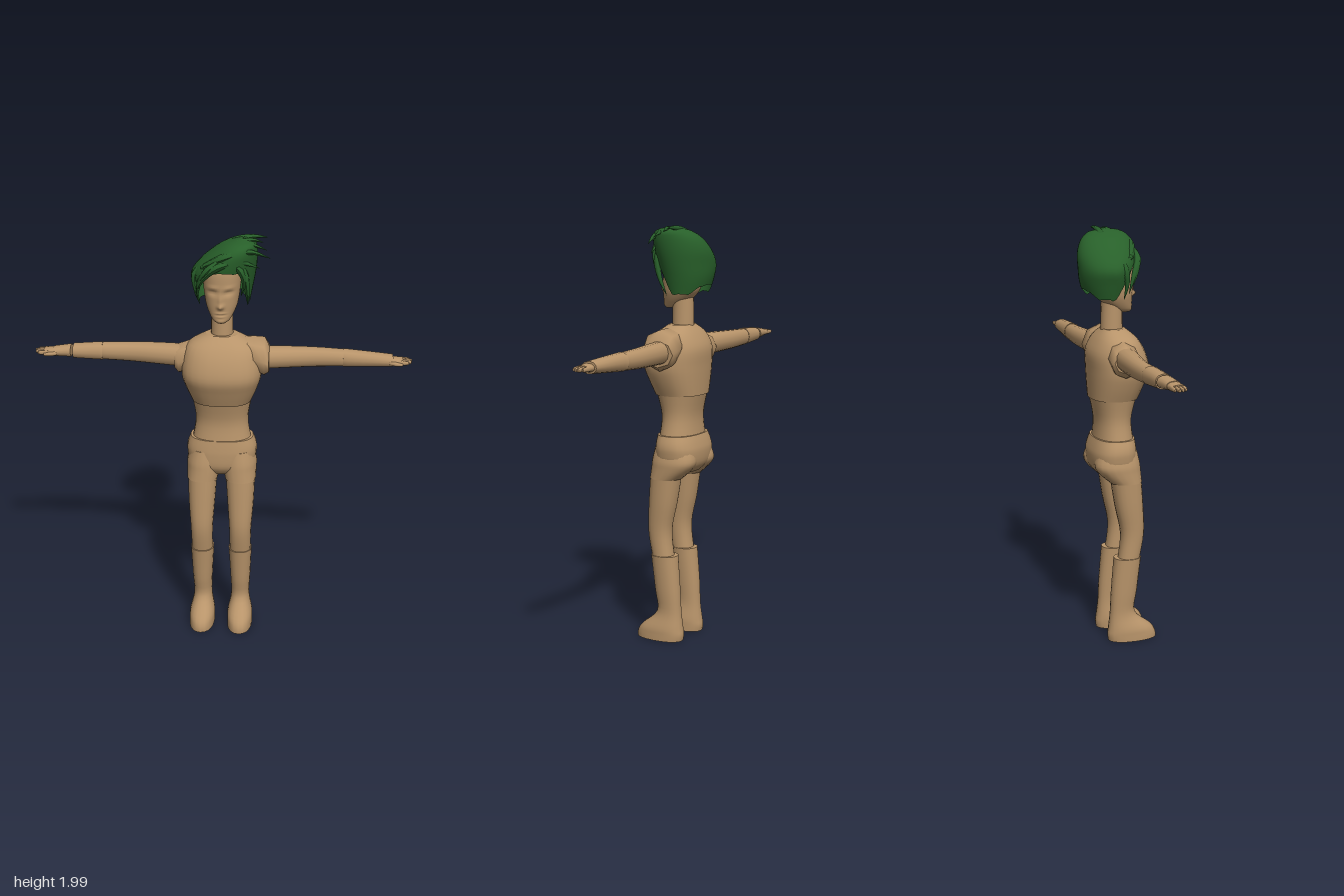
import * as THREE from 'three';

const skin = new THREE.MeshStandardMaterial({ color: 0xb8946a });
skin.name = 'tan skin';
const green = new THREE.MeshStandardMaterial({ color: 0x28602a, side: THREE.DoubleSide });
green.name = 'green hair';

// Surface through rings of points, with optional crisp end caps
function skinRings(rings, caps = true) {
  const n = rings[0].length, pos = [], idx = [];
  rings.forEach(r => r.forEach(p => pos.push(...p)));
  for (let i = 0; i < rings.length - 1; i++) for (let j = 0; j < n; j++) {
    const a = i * n + j, b = i * n + (j + 1) % n;
    idx.push(a, a + n, b, b, a + n, b + n);
  }
  if (caps) [rings[0], rings[rings.length - 1]].forEach((r, end) => {
    const base = pos.length / 3;
    r.forEach(p => pos.push(...p));
    pos.push(...[0, 1, 2].map(k => r.reduce((s, p) => s + p[k], 0) / n));
    for (let j = 0; j < n; j++) {
      const a = base + j, b = base + (j + 1) % n;
      idx.push(base + n, end ? b : a, end ? a : b);
    }
  });
  const g = new THREE.BufferGeometry();
  g.setAttribute('position', new THREE.Float32BufferAttribute(pos, 3));
  g.setIndex(idx);
  g.computeVertexNormals();
  return g;
}

// Catmull-Rom through the section numbers
function refine(sections, steps) {
  const out = [], at = i => sections[Math.min(Math.max(i, 0), sections.length - 1)];
  for (let i = 0; i < sections.length - 1; i++) for (let s = 0; s < steps; s++) {
    const t = s / steps;
    out.push(at(i).map((b, k) => {
      const a = at(i - 1)[k], c = at(i + 1)[k], d = at(i + 2)[k];
      return 0.5 * (2 * b + (c - a) * t + (2 * a - 5 * b + 4 * c - d) * t * t + (3 * b - a - 3 * c + d) * t ** 3);
    }));
  }
  out.push(at(sections.length - 1));
  return out;
}

// Section: [position on axis, u min, u max, v min, v max]; (u, v) is (x, z) on y and (z, y) on x
function sectionPoint([t, u0, u1, v0, v1], angle, axis = 'y', power = 2) {
  const c = Math.cos(angle), s = Math.sin(angle), e = 2 / power;
  const u = (u0 + u1) / 2 + (u1 - u0) / 2 * Math.sign(c) * Math.abs(c) ** e;
  const v = (v0 + v1) / 2 + (v1 - v0) / 2 * Math.sign(s) * Math.abs(s) ** e;
  return axis === 'y' ? [u, t, v] : [t, v, u];
}

function loft(sections, { axis = 'y', n = 20, steps = 4, power = 2.2 } = {}) {
  return skinRings(refine(sections, steps).map(s =>
    Array.from({ length: n }, (_, j) => sectionPoint(s, j / n * Math.PI * 2, axis, power))));
}

const mirrorX = s => s.map(([x, ...r]) => [-x, ...r]).reverse();
const mirrorY = s => s.map(([y, a, b, ...r]) => [y, -b, -a, ...r]);
const smooth = THREE.MathUtils.smoothstep;

// Head with face features pushed out of the skull
function headGeometry() {
  const g = loft([
    [1.605, -0.022, 0.022, 0.02, 0.072], [1.62, -0.043, 0.043, -0.02, 0.08], [1.66, -0.065, 0.065, -0.07, 0.08],
    [1.70, -0.077, 0.077, -0.1, 0.082], [1.78, -0.087, 0.087, -0.12, 0.084], [1.85, -0.086, 0.086, -0.13, 0.083],
    [1.90, -0.06, 0.07, -0.11, 0.06], [1.935, -0.01, 0.03, -0.06, 0.02],
  ], { n: 56, steps: 9, power: 2.2 });
  const bumps = [ // x, y, width, height, push
    [0, 1.688, 0.012, 0.012, 0.02], [0, 1.715, 0.009, 0.025, 0.01], [0.036, 1.752, 0.02, 0.011, -0.014],
    [0.037, 1.775, 0.024, 0.008, 0.005], [0.036, 1.748, 0.012, 0.005, 0.006], [0, 1.655, 0.02, 0.004, 0.006],
    [0, 1.647, 0.022, 0.003, -0.005], [0, 1.639, 0.018, 0.004, 0.005], [0, 1.615, 0.02, 0.01, 0.004],
  ];
  const p = g.attributes.position;
  for (let i = 0; i < p.count; i++) {
    if (p.getZ(i) < 0.02) continue;
    let z = p.getZ(i);
    for (const [x, y, w, h, d] of bumps)
      z += d * Math.exp(-(((Math.abs(p.getX(i)) - x) / w) ** 2) - ((p.getY(i) - y) / h) ** 2);
    p.setZ(i, z);
  }
  g.computeVertexNormals();
  return g;
}

// Hair cap with a raised fringe and a hem hanging lower at the sides
function hairGeometry() {
  const shape = refine([
    [1.67, -0.105, 0.125, -0.14, 0.05], [1.75, -0.13, 0.14, -0.165, 0.075], [1.815, -0.145, 0.152, -0.172, 0.09],
    [1.88, -0.1, 0.16, -0.168, 0.1], [1.94, -0.03, 0.16, -0.14, 0.095], [1.975, 0.03, 0.15, -0.09, 0.06],
    [1.988, 0.09, 0.1, -0.03, -0.02],
  ], 5);
  const at = y => {
    const i = Math.max(1, shape.findIndex(s => s[0] >= y - 1e-6)), a = shape[i - 1], b = shape[i];
    return a.map((v, k) => THREE.MathUtils.lerp(v, b[k], (y - a[0]) / (b[0] - a[0])));
  };
  const n = 40, rows = 16, rings = [];
  for (let i = 0; i <= rows; i++) rings.push(Array.from({ length: n }, (_, j) => {
    const a = j / n * Math.PI * 2, f = Math.sin(a);
    const hem = f > 0 ? 1.675 + 0.175 * smooth(f, 0.1, 0.9) : 1.68 + 0.04 * smooth(-f, 0.6, 1);
    return sectionPoint(at(THREE.MathUtils.lerp(hem + (j % 4 === 0 ? -0.004 : 0), 1.988, i / rows)), a);
  }));
  return skinRings(rings, false);
}

// Pointed lock of hair along a curve
function lockGeometry(points, radius) {
  const curve = new THREE.CatmullRomCurve3(points.map(p => new THREE.Vector3(...p)));
  const segs = 10, sides = 6, g = new THREE.TubeGeometry(curve, segs, radius, sides);
  const p = g.attributes.position, v = new THREE.Vector3();
  for (let i = 0; i < p.count; i++) {
    const u = Math.floor(i / (sides + 1)) / segs;
    v.fromBufferAttribute(p, i).lerp(curve.getPointAt(u), 1 - Math.min(1, 0.4 + 2 * u) * (1 - u ** 2));
    p.setXYZ(i, v.x, v.y, v.z);
  }
  g.computeVertexNormals();
  return g;
}

export function createModel() {
  const model = new THREE.Group();
  model.name = 'figure';
  const add = (name, geometry, material = skin) => {
    const m = new THREE.Mesh(geometry, material);
    m.name = name;
    model.add(m);
  };

  // Torso
  add('pelvis', loft([
    [0.83, -0.08, 0.08, -0.09, 0.06], [0.87, -0.15, 0.15, -0.122, 0.085], [0.93, -0.167, 0.167, -0.13, 0.088],
    [0.97, -0.165, 0.165, -0.123, 0.085], [1.01, -0.15, 0.15, -0.11, 0.08]], { n: 28, power: 2.5 }));
  add('waist', loft([
    [1.0, -0.14, 0.14, -0.105, 0.078], [1.1, -0.125, 0.125, -0.1, 0.07], [1.205, -0.14, 0.14, -0.12, 0.095]], { n: 28 }));
  add('chest', loft([
    [1.2, -0.14, 0.14, -0.125, 0.1], [1.27, -0.168, 0.168, -0.128, 0.128], [1.34, -0.187, 0.187, -0.13, 0.15],
    [1.42, -0.182, 0.182, -0.13, 0.132], [1.485, -0.155, 0.155, -0.1, 0.095], [1.53, -0.075, 0.075, -0.065, 0.045]], { n: 28, power: 2.4 }));
  add('neck', loft([[1.5, -0.052, 0.052, -0.07, 0.036], [1.66, -0.05, 0.05, -0.066, 0.034]], { steps: 1, power: 2 }));
  add('head', headGeometry());

  // Legs, both sides
  const legs = {
    upperThigh: [[0.8, 0.018, 0.166, -0.055, 0.1], [0.85, 0.005, 0.168, -0.11, 0.096], [0.89, 0.002, 0.167, -0.128, 0.092], [0.95, 0.01, 0.15, -0.11, 0.08]],
    leg: [[0.41, 0.042, 0.145, -0.015, 0.09], [0.54, 0.04, 0.148, -0.002, 0.112], [0.68, 0.03, 0.158, -0.03, 0.107], [0.82, 0.02, 0.163, -0.052, 0.097]],
    boot: [[0, 0.032, 0.157, -0.066, 0.178], [0.03, 0.032, 0.157, -0.07, 0.174], [0.065, 0.033, 0.155, -0.065, 0.15],
      [0.14, 0.048, 0.138, -0.056, 0.068], [0.25, 0.045, 0.143, -0.05, 0.078], [0.42, 0.036, 0.15, -0.035, 0.098]],
  };
  for (const [part, s] of Object.entries(legs)) {
    add(part + 'Left', loft(s));
    add(part + 'Right', loft(mirrorY(s)));
  }

  // Shoulder pads, faceted and slightly uneven
  const pad = { axis: 'x', n: 8, steps: 1, power: 2 };
  add('shoulderLeft', loft([[0.1, -0.07, 0.06, 1.42, 1.515], [0.15, -0.098, 0.08, 1.35, 1.52],
    [0.2, -0.1, 0.085, 1.325, 1.518], [0.222, -0.09, 0.075, 1.345, 1.47]], pad));
  add('shoulderRight', loft(mirrorX([[0.1, -0.06, 0.04, 1.41, 1.48], [0.15, -0.085, 0.06, 1.34, 1.49],
    [0.2, -0.085, 0.06, 1.325, 1.472], [0.22, -0.075, 0.05, 1.35, 1.455]]), pad));

  // Arms and hands
  const arms = {
    upperArm: [[0.14, -0.06, 0.055, 1.36, 1.468], [0.28, -0.072, 0.032, 1.363, 1.466], [0.43, -0.077, 0.01, 1.368, 1.461], [0.57, -0.071, 0.006, 1.374, 1.455]],
    palm: [[0.78, -0.046, 0.022, 1.392, 1.435], [0.81, -0.047, 0.022, 1.396, 1.432], [0.84, -0.045, 0.02, 1.4, 1.428]],
    thumb: [[0.78, 0.005, 0.025, 1.402, 1.422], [0.81, 0.01, 0.032, 1.4, 1.42], [0.84, 0.015, 0.028, 1.401, 1.413]],
  };
  [0.872, 0.884, 0.88, 0.868].forEach((tip, i) => {
    const z = -0.046 + i * 0.017;
    arms['finger' + (i + 1)] = [[0.82, z, z + 0.017, 1.402, 1.426], [tip - 0.008, z + 0.001, z + 0.015, 1.404, 1.422], [tip, z + 0.004, z + 0.012, 1.407, 1.418]];
  });
  for (const [part, s] of Object.entries(arms)) {
    add(part + 'Left', loft(s, { axis: 'x', n: 14 }));
    add(part + 'Right', loft(mirrorX(s), { axis: 'x', n: 14 }));
  }
  const fore = [[0.565, -0.073, 0.01, 1.372, 1.458], [0.69, -0.064, 0.016, 1.38, 1.45], [0.795, -0.055, 0.022, 1.387, 1.442]];
  const foreGap = [fore[0], [0.63, -0.068, 0.013, 1.376, 1.454], [0.703, -0.063, 0.016, 1.381, 1.449]];
  const wrist = [[0.714, -0.062, 0.017, 1.387, 1.446], [0.75, -0.055, 0.018, 1.39, 1.442], [0.795, -0.048, 0.022, 1.394, 1.436]];
  add('forearmLeft', loft(fore, { axis: 'x', n: 14 }));
  add('forearmRight', loft(mirrorX(foreGap), { axis: 'x', n: 14 }));
  add('wristRight', loft(mirrorX(wrist), { axis: 'x', n: 14 }));

  // Hair swept towards the left, with loose locks
  add('hair', hairGeometry(), green);
  [
    [0.022, [-0.02, 1.925, -0.06], [0.08, 1.972, -0.05], [0.15, 1.985, -0.05], [0.208, 1.982, -0.05]],
    [0.02, [0, 1.94, 0], [0.08, 1.97, 0], [0.14, 1.98, -0.01], [0.19, 1.965, -0.02]],
    [0.022, [-0.06, 1.9, 0], [0.05, 1.955, 0.03], [0.14, 1.965, 0.02], [0.21, 1.94, 0.02]],
    [0.024, [-0.08, 1.87, 0.05], [0.03, 1.925, 0.08], [0.13, 1.945, 0.06], [0.225, 1.91, 0.04]],
    [0.022, [-0.09, 1.86, 0.04], [0, 1.885, 0.085], [0.09, 1.9, 0.075], [0.18, 1.865, 0.05]],
    [0.02, [0, 1.91, 0.08], [-0.06, 1.86, 0.09], [-0.1, 1.79, 0.06], [-0.112, 1.7, 0.03]],
    [0.02, [0.06, 1.9, 0.085], [-0.02, 1.875, 0.095], [-0.075, 1.825, 0.085], [-0.12, 1.74, 0.05]],
    [0.02, [-0.08, 1.87, 0], [-0.122, 1.82, 0.01], [-0.118, 1.75, 0.02], [-0.1, 1.672, 0.01]],
    [0.02, [0.09, 1.9, 0.06], [0.11, 1.83, 0.06], [0.118, 1.75, 0.04], [0.12, 1.668, 0]],
    [0.018, [0.05, 1.9, 0.08], [0.09, 1.86, 0.08], [0.105, 1.8, 0.065], [0.09, 1.73, 0.05]],
  ].forEach(([r, ...pts], i) => add('hairLock' + (i + 1), lockGeometry(pts, r), green));

  return model;
}
